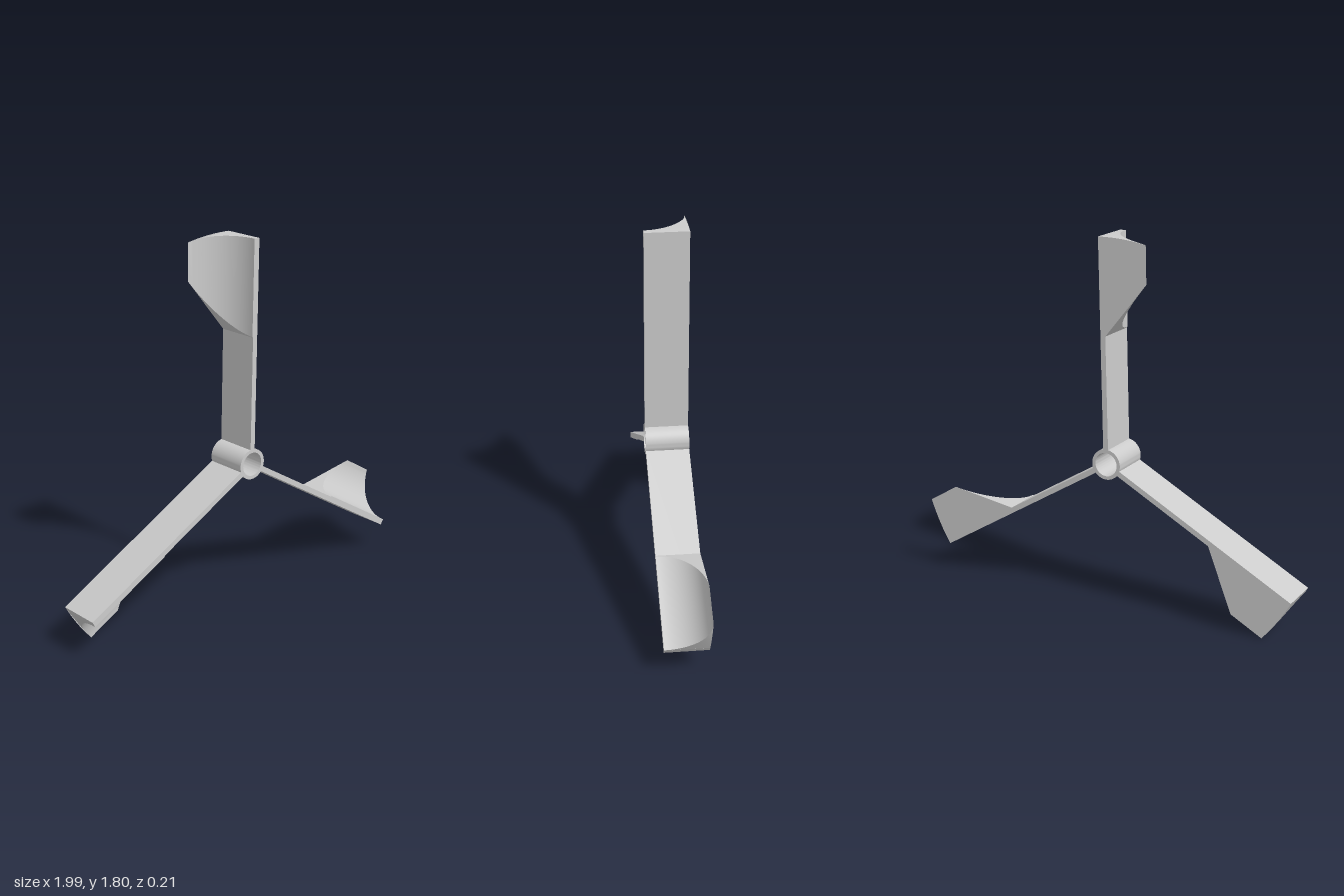
import * as THREE from 'three';
import { toCreasedNormals } from 'three/addons/utils/BufferGeometryUtils.js';

const HALF = 0.105;       // half depth along z
const REACH = 1.09;       // hub centre to arm tip
const THICK = 0.026;      // arm thickness

// Open tube at the centre
function hubGeometry() {
  const ring = new THREE.Shape().absarc(0, 0, 0.075, 0, Math.PI * 2);
  ring.holes.push(new THREE.Path().absarc(0, 0, 0.058, 0, Math.PI * 2, true));
  const geo = new THREE.ExtrudeGeometry(ring, { depth: HALF * 2, bevelEnabled: false, curveSegments: 32 });
  geo.translate(0, 0, -HALF);
  return toCreasedNormals(geo, 0.6);
}

// Solid scoop: flat back, concave quarter-round front, slanted inner end, rounded outer end
function scoopGeometry() {
  const v0 = THICK / 2 + 0.004, v1 = 0.2325, steps = 24;
  const points = [new THREE.Vector2(THICK / 2 - 0.003, -HALF)];
  for (let i = 1; i <= 8; i++) points.push(new THREE.Vector2(v0 + (v1 - v0) * i / 8, -HALF));
  for (let i = steps - 1; i >= 0; i--) {
    const t = i / steps * Math.PI / 2;
    points.push(new THREE.Vector2(v1 - (v1 - v0) * Math.cos(t), HALF - 2 * HALF * Math.sin(t)));
  }
  points.push(new THREE.Vector2(THICK / 2 - 0.003, HALF));
  const geo = new THREE.ExtrudeGeometry(new THREE.Shape(points), { depth: 1, bevelEnabled: false });

  // Lay the section along the arm and trim both ends
  const pos = geo.attributes.position;
  for (let i = 0; i < pos.count; i++) {
    const v = pos.getX(i), z = pos.getY(i), along = pos.getZ(i);
    const inner = 0.63 + (v - v0) / (v1 - v0) * 0.254;
    const outer = Math.sqrt(REACH * REACH - v * v);
    pos.setXYZ(i, THREE.MathUtils.lerp(inner, outer, along), v, z);
  }
  return toCreasedNormals(geo, 0.5);
}

export function createModel() {
  const model = new THREE.Group();
  model.name = 'rotor';
  const material = new THREE.MeshStandardMaterial({ color: 0xcccccc });

  const add = (parent, name, geometry) => {
    const mesh = new THREE.Mesh(geometry, material);
    mesh.name = name;
    parent.add(mesh);
    return mesh;
  };

  add(model, 'hub', hubGeometry());

  // Three identical blades around the hub
  const start = 0.07;
  const armGeo = new THREE.BoxGeometry(REACH - start, THICK, HALF * 2);
  armGeo.translate((REACH + start) / 2, 0, 0);
  const scoopGeo = scoopGeometry();
  for (let i = 0; i < 3; i++) {
    const blade = new THREE.Group();
    blade.name = `blade${i + 1}`;
    add(blade, 'arm', armGeo);
    add(blade, 'scoop', scoopGeo);
    blade.rotation.z = THREE.MathUtils.degToRad(88.53 + i * 120);
    model.add(blade);
  }

  model.position.set(-0.032, 0.715, 0);
  const root = new THREE.Group();
  root.name = 'windRotor';
  root.add(model);
  return root;
}
